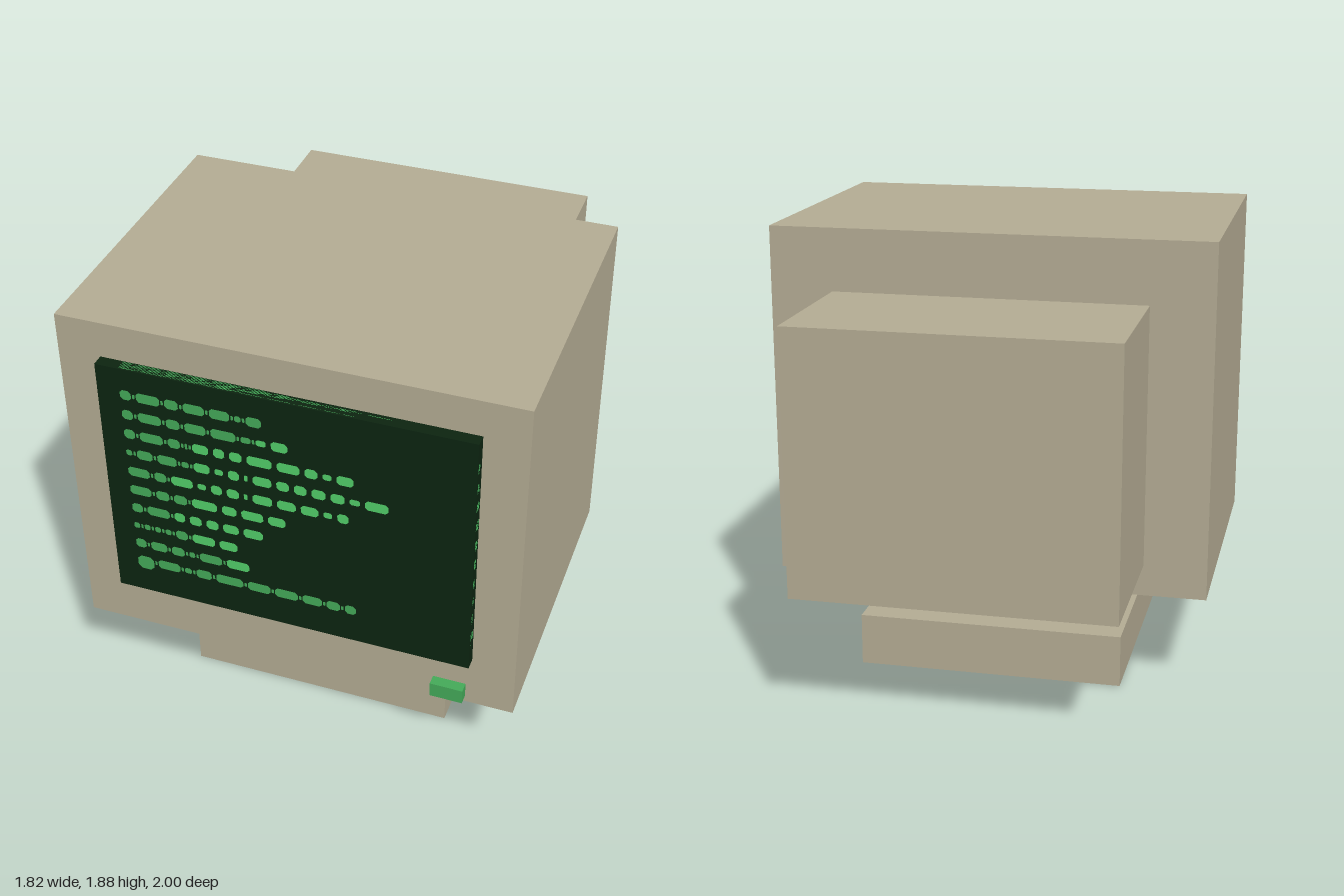
import * as THREE from 'three';
import { mergeGeometries } from 'three/addons/utils/BufferGeometryUtils.js';

const paint = (name, color) => {
  const m = new THREE.MeshStandardMaterial({ color });
  m.name = name;
  return m;
};

// Box given by its low and high corners
function block(name, material, [x0, y0, z0], [x1, y1, z1]) {
  const mesh = new THREE.Mesh(new THREE.BoxGeometry(x1 - x0, y1 - y0, z1 - z0), material);
  mesh.position.set((x0 + x1) / 2, (y0 + y1) / 2, (z0 + z1) / 2);
  mesh.name = name;
  return mesh;
}

// Flat dash with clipped corners, standing in for a word
function dash(x, y, w, h) {
  const c = Math.min(w, h) * 0.25, s = new THREE.Shape();
  s.moveTo(x + c, y - h / 2);
  s.lineTo(x + w - c, y - h / 2);
  s.lineTo(x + w, y - h / 2 + c);
  s.lineTo(x + w, y + h / 2 - c);
  s.lineTo(x + w - c, y + h / 2);
  s.lineTo(x + c, y + h / 2);
  s.lineTo(x, y + h / 2 - c);
  s.lineTo(x, y - h / 2 + c);
  return new THREE.ShapeGeometry(s);
}

// Dash widths per row in 1/200 units, and the index where the bright colour begins
const ROWS = [
  [[9, 19, 11, 17, 16, 5, 12], 9],
  [[9, 19, 11, 17, 20, 8, 8, 13], 6],
  [[9, 19, 10, 2, 13, 9, 10, 20, 18, 10, 7, 13], 4],
  [[5, 13, 16, 6, 13, 7, 9, 3, 15, 10, 10, 11, 11, 8, 18], 4],
  [[18, 10, 18, 7, 9, 10, 3, 16, 15, 14, 7, 9], 2],
  [[18, 11, 11, 21, 12, 18, 14], 3],
  [[9, 19, 9, 10, 10, 13, 16], 2],
  [[5, 5, 5, 5, 10, 19, 15], 5],
  [[9, 14, 11, 5, 19, 19], 5],
  [[14, 19, 6, 13, 23, 19, 19, 16, 11, 9], 99],
];

// Dash rows, centred on the screen, as one geometry per colour
function dashRows() {
  const unit = 1 / 201, gap = 4 * unit, dull = [], bright = [];
  ROWS.forEach(([widths, brightFrom], r) => {
    let x = -0.642;
    const y = 0.428 - r * 0.0903;
    widths.forEach((n, i) => {
      const w = n * unit;
      const firstOfLast = r === ROWS.length - 1 && i === 0;
      const h = firstOfLast ? 0.065 : n <= 8 ? 0.027 : 0.043;
      (i >= brightFrom ? bright : dull).push(dash(x, firstOfLast ? y - 0.01 : y, w, h));
      // Small tick joining the early dashes
      if (i < brightFrom && i < widths.length - 1) dull.push(dash(x + w + unit, y, 2 * unit, 0.02));
      x += w + gap;
    });
  });
  return [mergeGeometries(dull), mergeGeometries(bright)];
}

export function createModel() {
  const model = new THREE.Group();
  model.name = 'desktopMonitor';

  const casing = paint('beigeCasing', 0xb2aa92);
  const glass = paint('darkGreenGlass', 0x0c2410);
  const green = paint('green', 0x43a858);
  const brightGreen = paint('brightGreen', 0x50cb68);

  // Casing and stand
  model.add(
    block('base', casing, [-0.56, 0, -0.345], [0.56, 0.22, 0.69]),
    block('neck', casing, [-0.173, 0.22, 0], [0.173, 0.415, 0.345]),
    block('body', casing, [-0.908, 0.415, -0.345], [0.908, 1.885, 0.948]),
    block('rearHousing', casing, [-0.648, 0.545, -1], [0.648, 1.625, -0.345]),
    block('screen', glass, [-0.735, 0.65, 0.948], [0.735, 1.735, 0.998]),
    block('powerLight', green, [0.58, 0.445, 0.948], [0.713, 0.51, 0.992]),
  );

  // The same dashes lie on the screen front and, squeezed, on its four edges
  const W = 0.735, H = 0.5425, D = 0.025, lift = 0.0015;
  const faces = [
    ['front', [0, 0, D + lift], [0, 0], [1, 1]],
    ['left', [W + lift, 0, 0], [0, Math.PI / 2], [D / W, 1]],
    ['right', [-W - lift, 0, 0], [0, -Math.PI / 2], [D / W, 1]],
    ['top', [0, H + lift, 0], [-Math.PI / 2, 0], [1, D / H]],
    ['bottom', [0, -H - lift, 0], [Math.PI / 2, 0], [1, D / H]],
  ];
  const [dull, bright] = dashRows();
  const text = new THREE.Group();
  text.name = 'screenDashes';
  text.position.set(0, 1.1925, 0.973);
  for (const [side, pos, rot, size] of faces) {
    for (const [geometry, material] of [[dull, green], [bright, brightGreen]]) {
      const mesh = new THREE.Mesh(geometry, material);
      mesh.name = side + 'Dashes';
      mesh.position.set(...pos);
      mesh.rotation.set(rot[0], rot[1], 0);
      mesh.scale.set(size[0], size[1], 1);
      text.add(mesh);
    }
  }
  model.add(text);
  return model;
}
